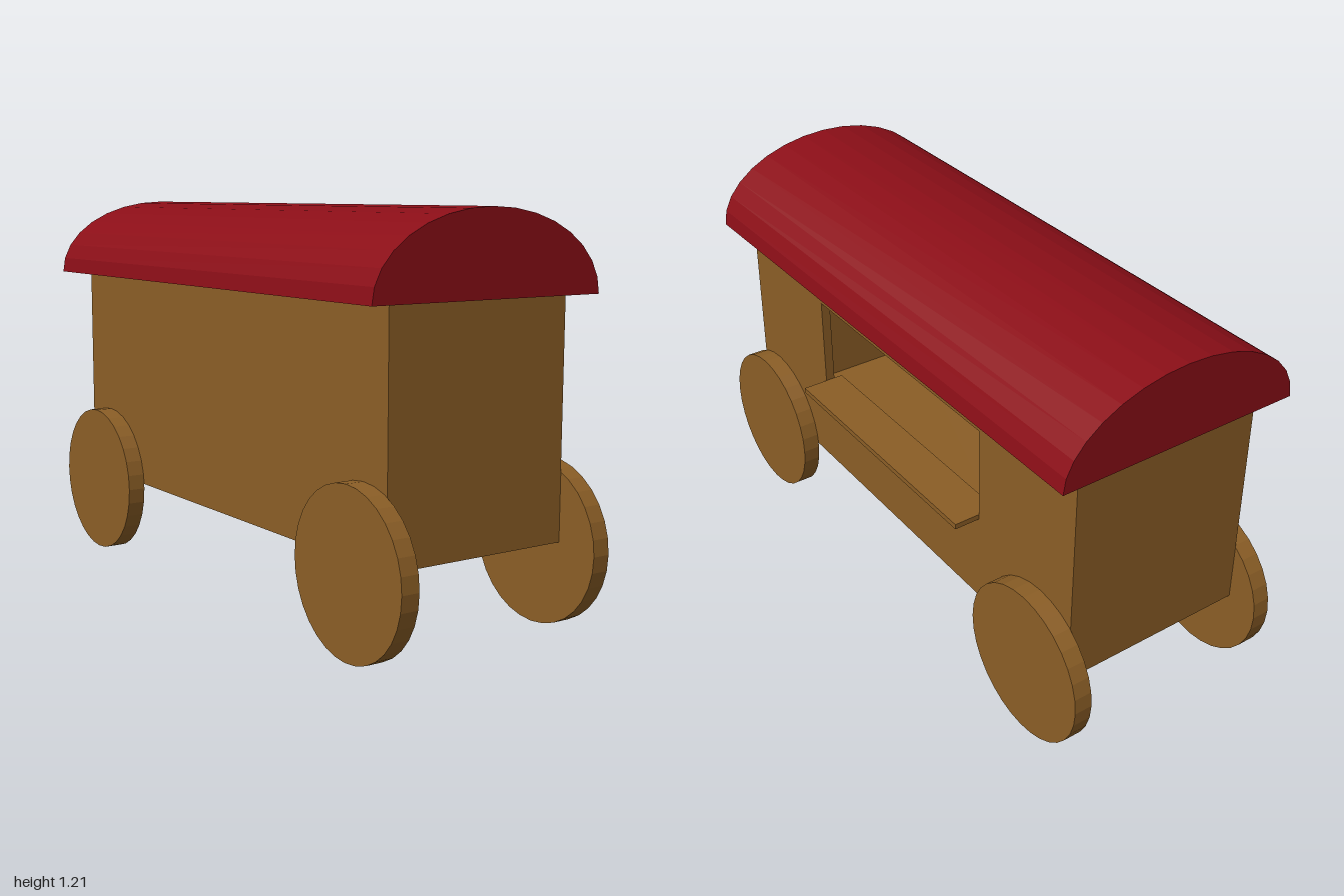
import * as THREE from 'three';

const wood = new THREE.MeshStandardMaterial({ color: 0x8b5e26, flatShading: true });
const red = new THREE.MeshStandardMaterial({ color: 0x8b0e17, flatShading: true });

export function createModel() {
  const model = new THREE.Group();
  model.name = 'wagon';

  const add = (parent, name, geometry, material = wood) => {
    const mesh = new THREE.Mesh(geometry, material);
    mesh.name = name;
    parent.add(mesh);
    return mesh;
  };
  // box given by its minimum and maximum corners
  const box = (parent, name, [x0, y0, z0], [x1, y1, z1]) => add(parent, name,
    new THREE.BoxGeometry(x1 - x0, y1 - y0, z1 - z0)
      .translate((x0 + x1) / 2, (y0 + y1) / 2, (z0 + z1) / 2));

  // hollow cabin
  const W = 0.308, Y0 = 0.262, Y1 = 0.972, ZB = -0.895, ZF = 0.862, T = 0.03;
  const cabin = new THREE.Group();
  cabin.name = 'cabin';
  model.add(cabin);
  box(cabin, 'floor', [-W, Y0, ZB], [W, Y0 + T, ZF]);
  box(cabin, 'ceiling', [-W + T, Y1 - T, ZB + T], [W - T, Y1, ZF - T]);
  box(cabin, 'frontWall', [-W + T, Y0 + T, ZF - T], [W - T, Y1, ZF]);
  box(cabin, 'backWall', [-W + T, Y0 + T, ZB], [W - T, Y1, ZB + T]);
  box(cabin, 'rightWall', [-W, Y0 + T, ZB], [-W + T, Y1, ZF]);

  // left wall with the serving window, drawn in (-z, y)
  const rect = (path, x0, y0, x1, y1) => {
    path.moveTo(x0, y0).lineTo(x1, y0).lineTo(x1, y1).lineTo(x0, y1).closePath();
    return path;
  };
  const wall = rect(new THREE.Shape(), -ZF, Y0 + T, -ZB, Y1);
  wall.holes.push(rect(new THREE.Path(), -0.42, 0.55, 0.46, 0.86));
  add(cabin, 'windowWall', new THREE.ExtrudeGeometry(wall, { depth: T, bevelEnabled: false })
    .rotateY(Math.PI / 2).translate(W - T, 0, 0));

  // counter through the window
  box(model, 'counter', [0.25, 0.55, -0.46], [0.39, 0.567, 0.42]);

  // roof: solid half-ellipse with overhang
  const arch = new THREE.Shape();
  for (let i = 0; i <= 16; i++) {
    const a = (i / 16) * Math.PI;
    const x = 0.394 * Math.cos(a), y = 0.245 * Math.sin(a);
    if (i) arch.lineTo(x, y); else arch.moveTo(x, y);
  }
  arch.closePath();
  add(model, 'roof', new THREE.ExtrudeGeometry(arch, { depth: 1.846, bevelEnabled: false }), red)
    .position.set(-0.001, 0.971, -0.941);

  // four disc wheels against the cabin sides
  const R = 0.245;
  const wheel = new THREE.CylinderGeometry(R, R, 0.057, 32).rotateZ(Math.PI / 2);
  for (const [side, sx] of [['left', 1], ['right', -1]]) {
    for (const [end, sz] of [['Front', 1], ['Back', -1]]) {
      add(model, `${side}${end}Wheel`, wheel).position.set(sx * 0.3365, R + 0.002, sz * 0.755);
    }
  }
  return model;
}
